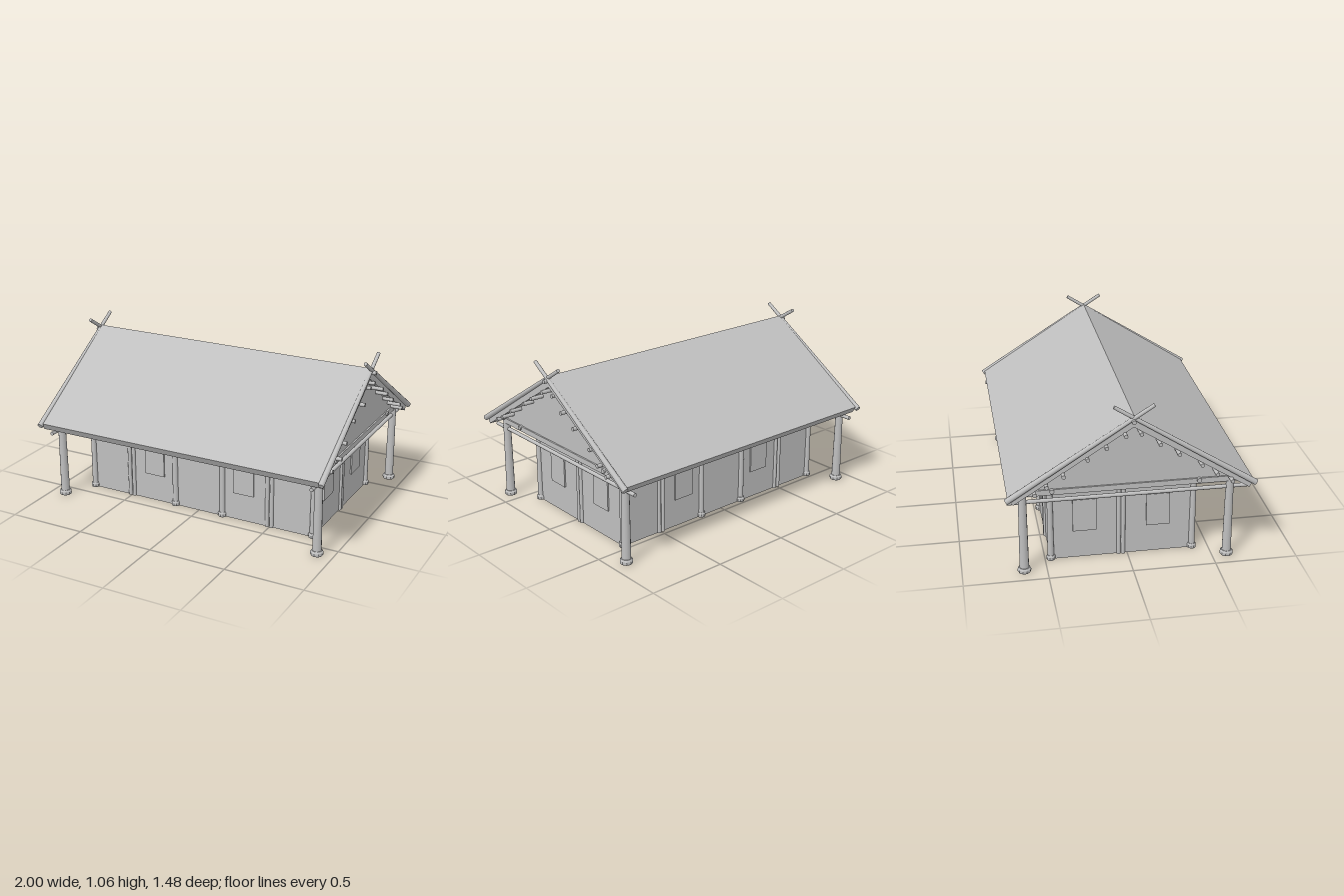
import * as THREE from 'three';

export function createModel() {
  const group = new THREE.Group();
  const grey = new THREE.MeshStandardMaterial({ color: 0xbfbfbf });
  grey.name = 'plain grey';

  const add = (name, geometry, x = 0, y = 0, z = 0) => {
    const mesh = new THREE.Mesh(geometry, grey);
    mesh.name = name;
    mesh.position.set(x, y, z);
    group.add(mesh);
    return mesh;
  };
  const box = (name, w, h, d, x, y, z) => add(name, new THREE.BoxGeometry(w, h, d), x, y, z);

  // Round pole between two points
  const pole = (name, a, b, r0, r1 = r0) => {
    const from = new THREE.Vector3(...a), to = new THREE.Vector3(...b);
    const dir = to.clone().sub(from);
    const mesh = add(name, new THREE.CylinderGeometry(r1, r0, dir.length(), 12));
    mesh.position.copy(from).lerp(to, 0.5);
    mesh.quaternion.setFromUnitVectors(new THREE.Vector3(0, 1, 0), dir.normalize());
  };

  // Upright post standing on a stepped round foot
  const post = (name, x, z, r, top) => {
    pole(name, [x, 0.02, z], [x, top, z], r * 1.08, r * 0.9);
    const foot = [[0, 0], [1.4, 0], [1.55, 0.007], [1.55, 0.021], [1.25, 0.032], [0, 0.032]]
      .map(([k, y]) => new THREE.Vector2(k * r, y));
    const geo = new THREE.LatheGeometry(foot, 10).toNonIndexed();
    geo.computeVertexNormals();
    add(name + 'Foot', geo, x, 0, z);
  };

  // Walls: hollow and open below
  const X = 0.79, ZF = 0.4, ZB = -0.465, H = 0.52, T = 0.02;
  const midZ = (ZF + ZB) / 2;
  for (const z of [ZF - T / 2, ZB + T / 2]) box('longWall', 2 * X, H, T, 0, H / 2, z);
  for (const s of [-1, 1]) box('endWall', T, H, ZF - ZB - 2 * T, s * (X - T / 2), H / 2, midZ);

  // Long sides: footed posts, paired poles, shutters and top plate
  for (const [z, out] of [[ZF, 1], [ZB, -1]]) {
    for (const x of [-0.79, -0.17, 0.17, 0.79]) post('wallPost', x, z, 0.018, 0.56);
    for (const s of [-1, 1]) {
      for (const x of [0.482, 0.512]) pole('pairedPole', [s * x, 0, z], [s * x, H, z], 0.013);
      box('shutter', 0.14, 0.21, 0.009, s * 0.32, 0.285, z + out * 0.0045);
    }
    pole('wallPlate', [-0.93, 0.53, z], [0.93, 0.53, z], 0.014);
  }

  // End sides
  for (const s of [-1, 1]) {
    for (const z of [-0.025, -0.052]) pole('pairedPole', [s * X, 0, z], [s * X, H, z], 0.013);
    for (const z of [0.185, -0.26]) box('shutter', 0.009, 0.21, 0.142, s * (X + 0.0045), 0.287, z);
    // Free-standing corner posts and the pole that joins them
    post('cornerPost', s * 0.9, 0.59, 0.026, 0.53);
    post('cornerPost', s * 0.9, -0.635, 0.026, 0.53);
    pole('crossPole', [s * 0.9, 0.464, 0.7], [s * 0.9, 0.464, -0.725], 0.012);
    box('tieBeam', 0.04, 0.034, 1.2, s * 0.9, 0.523, -0.01);

    // Crossed barge poles along the roof edge
    pole('bargePole', [s * 0.968, 0.513, 0.728], [s * 0.968, 1.052, -0.115], 0.018, 0.011);
    pole('bargePole', [s * 0.972, 0.513, -0.732], [s * 0.972, 1.052, 0.115], 0.018, 0.011);
  }

  // Roof: one folded slab, outlined in z and y and run along x
  const along = (points, length) => {
    const shape = new THREE.Shape(points.map(([z, y]) => new THREE.Vector2(-z, y)));
    const geo = new THREE.ExtrudeGeometry(shape, { depth: length, bevelEnabled: false });
    return geo.translate(0, 0, -length / 2).rotateY(Math.PI / 2);
  };
  add('roof', along([[0.718, 0.527], [0, 0.99], [-0.724, 0.527], [-0.692, 0.482],
    [0, 0.92], [0.69, 0.482]], 1.93));

  // Gable infill
  for (const s of [-1, 1])
    add('gable', along([[0.645, 0.51], [0, 0.925], [-0.645, 0.51]], 0.02), s * 0.9, 0, 0);

  // Purlins running through the gables, with uneven ends
  const purlins = [[0.58, 0.545], [0.49, 0.592], [0.4, 0.655], [0.26, 0.742], [0.15, 0.81],
    [0.042, 0.88], [-0.05, 0.88], [-0.158, 0.81], [-0.265, 0.742], [-0.405, 0.655],
    [-0.502, 0.592], [-0.57, 0.545]];
  purlins.forEach(([z, y], i) =>
    pole('purlin', [-1 + (i % 3) * 0.007, y, z], [0.98 + (i * 2 % 3) * 0.008, y, z], 0.012));
  pole('ridgePole', [-1, 0.963, -0.005], [1, 0.963, -0.005], 0.013);

  return group;
}
